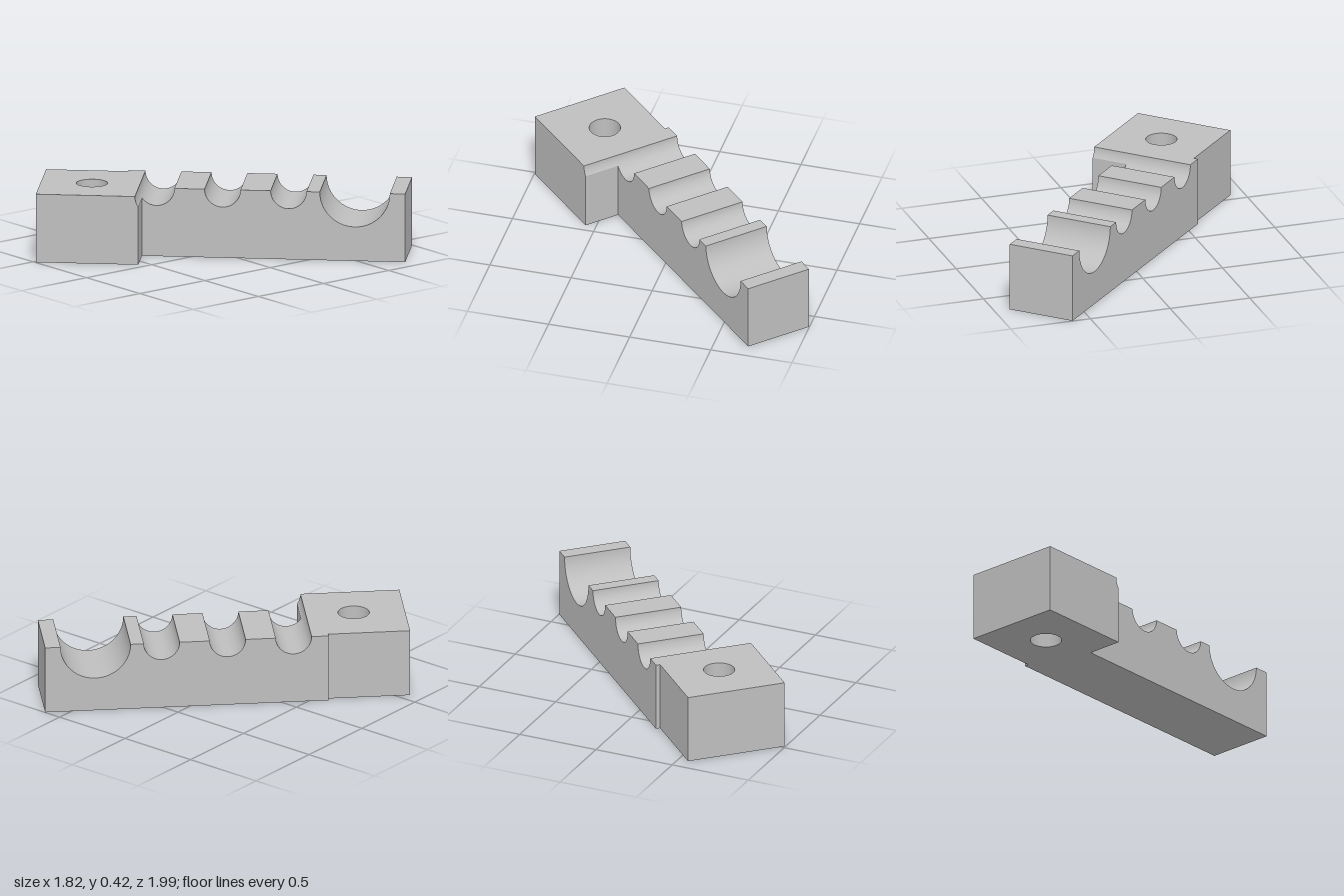
import * as THREE from 'three';
import { toCreasedNormals } from 'three/addons/utils/BufferGeometryUtils.js';

const H = 0.417; // overall height
const SMALL = 0.107; // small groove radius
const FIRST = -0.346; // centre of the first groove along the bar
const EDGE = FIRST - SMALL; // where the first groove begins
const BLOCK_END = -0.433;
const GROOVES = [[FIRST, SMALL], [0.048, SMALL], [0.442, SMALL], [0.837, 0.209]];

export function createModel() {
  const grey = new THREE.MeshStandardMaterial({ color: 0xbfbfbf });
  grey.name = 'plain grey';

  // Local x runs along the bar and local z across it
  const holder = new THREE.Group();
  holder.name = 'grooveHolder';
  holder.rotation.y = Math.PI / 4;

  const add = (name, geometry) => {
    const mesh = new THREE.Mesh(toCreasedNormals(geometry, 0.4), grey);
    mesh.name = name;
    holder.add(mesh);
  };
  const extrude = (shape, depth) =>
    new THREE.ExtrudeGeometry(shape, { depth, bevelEnabled: false, curveSegments: 32 });

  // Bar: side profile with round grooves, extruded across its width
  const bar = new THREE.Shape();
  bar.moveTo(EDGE, 0);
  bar.lineTo(EDGE, H);
  for (const [c, r] of GROOVES) {
    bar.lineTo(c - r, H);
    bar.absarc(c, H, r, Math.PI, Math.PI * 2, false);
  }
  bar.lineTo(1.138, H);
  bar.lineTo(1.138, 0);
  add('groovedBar', extrude(bar, 0.415).translate(0, 0, -0.273));

  // Mounting block: plan outline with a through hole, extruded upward
  const plan = new THREE.Shape();
  plan.moveTo(-1.044, -0.363);
  plan.lineTo(EDGE, -0.363);
  plan.lineTo(EDGE, 0.247);
  plan.lineTo(-1.044, 0.247);
  const hole = new THREE.Path();
  hole.absarc(-0.739, -0.059, 0.093, 0, Math.PI * 2, true);
  plan.holes.push(hole);
  add('mountingBlock', extrude(plan, H).rotateX(-Math.PI / 2));

  // Block shoulder: its end face, clipped by the first groove
  const lip = new THREE.Shape();
  const sweep = Math.acos((FIRST - BLOCK_END) / SMALL);
  lip.moveTo(EDGE, 0);
  lip.lineTo(EDGE, H);
  lip.absarc(FIRST, H, SMALL, Math.PI, Math.PI + sweep, false);
  lip.lineTo(BLOCK_END, 0);
  add('blockShoulder', extrude(lip, 0.363 - 0.142).translate(0, 0, 0.142));

  // Narrow step where the bar overlaps the side of the block
  const stepLength = EDGE + 0.554;
  add('sideStep', new THREE.BoxGeometry(stepLength, H, 0.026)
    .translate(EDGE - stepLength / 2, H / 2, -0.26));

  const model = new THREE.Group();
  model.name = 'model';
  model.add(holder);
  return model;
}
